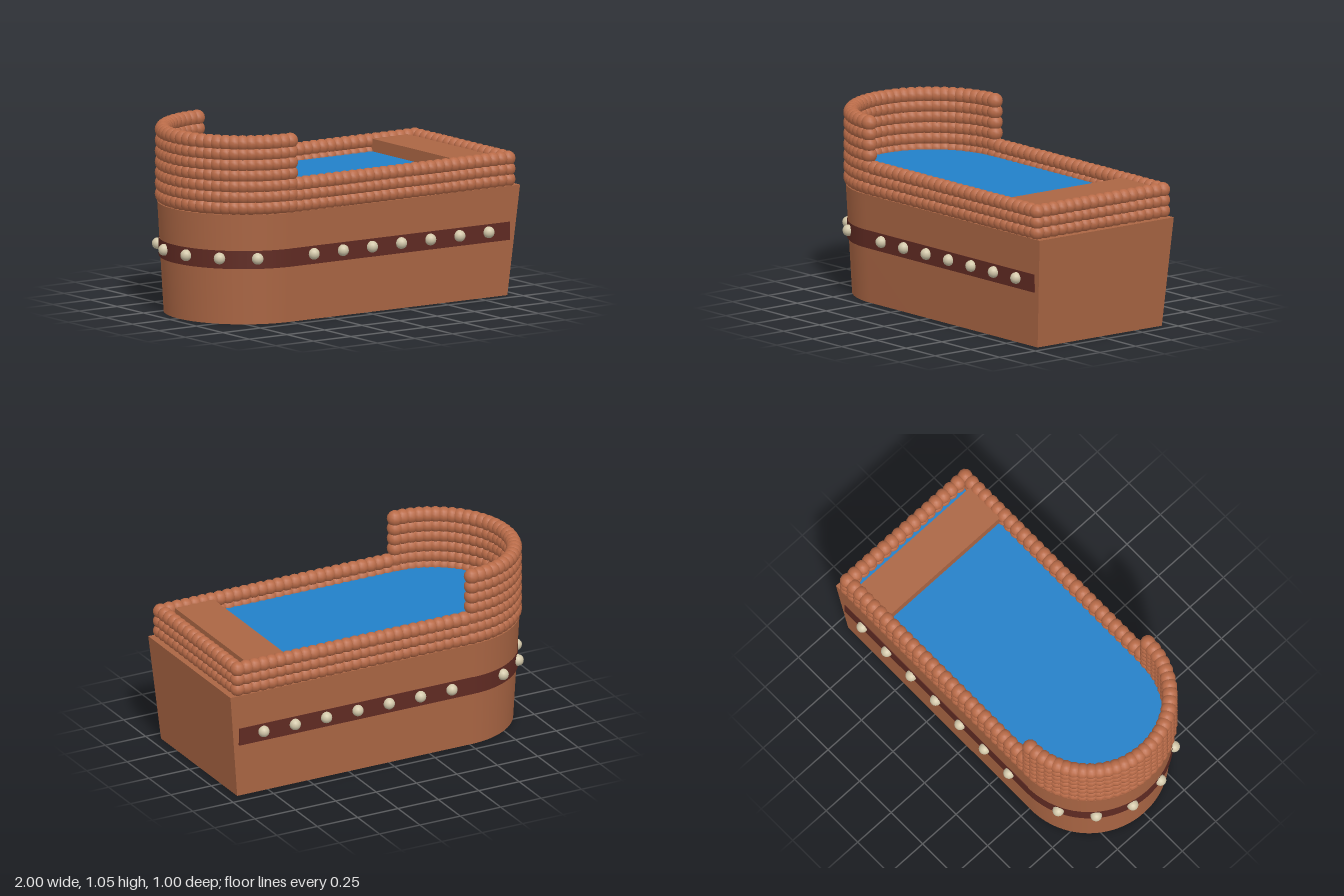
import * as THREE from 'three';
import { mergeGeometries, toCreasedNormals } from 'three/addons/utils/BufferGeometryUtils.js';

const ARC_X = -0.51; // centre of the rounded end

const mat = (name, color, extra = {}) => {
  const m = new THREE.MeshStandardMaterial({ color, ...extra });
  m.name = name;
  return m;
};

// Plan outline: square at +x, half round at -x, extruded upwards
function tubSolid(endX, r, y0, y1) {
  const s = new THREE.Shape();
  s.moveTo(ARC_X, -r);
  s.lineTo(endX, -r);
  s.lineTo(endX, r);
  s.lineTo(ARC_X, r);
  s.absarc(ARC_X, 0, r, Math.PI / 2, Math.PI * 1.5, false);
  const g = new THREE.ExtrudeGeometry(s, { depth: y1 - y0, bevelEnabled: false, curveSegments: 32 });
  return g.rotateX(-Math.PI / 2).translate(0, y0, 0);
}

// One mesh of many equal balls
function balls(points, r, material, name, w = 12, h = 8) {
  const ball = new THREE.SphereGeometry(r, w, h);
  const parts = points.map(([x, y, z]) => ball.clone().translate(x, y, z));
  const mesh = new THREE.Mesh(mergeGeometries(parts), material);
  mesh.name = name;
  return mesh;
}

export function createModel() {
  const group = new THREE.Group();
  group.name = 'tub';
  const clay = mat('clay', 0xab6644);
  const rope = mat('braid', 0xb96b48);
  const dark = mat('dark band', 0x5f2a22, { side: THREE.DoubleSide });
  const cream = mat('cream', 0xd2c7a9);
  const blue = mat('water', 0x2280c8);
  const add = (geo, material, name) => {
    const mesh = new THREE.Mesh(geo, material);
    mesh.name = name;
    group.add(mesh);
    return mesh;
  };

  // Body, tapering towards the floor
  const H = 0.61;
  const body = tubSolid(1, 0.47, 0, H);
  const p = body.attributes.position;
  for (let i = 0; i < p.count; i++) {
    const t = 1 - p.getY(i) / H;
    const dx = p.getX(i) - ARC_X;
    p.setX(i, ARC_X + dx * (1 - t * (dx > 0 ? 0.04 : 0.074)));
    p.setZ(i, p.getZ(i) * (1 - t * 0.074));
  }
  add(toCreasedNormals(body, 0.5), clay, 'body');

  // Water and the bench standing in it
  add(tubSolid(0.94, 0.44, 0.6, 0.705), blue, 'water');
  add(new THREE.BoxGeometry(0.24, 0.1, 0.82), clay, 'bench').position.set(0.75, 0.725, 0);

  // Dark band along the sides and round the curved end
  const bandR = 0.462, bandY = 0.36, bandH = 0.1;
  for (const side of [1, -1]) {
    add(new THREE.BoxGeometry(0.94 - ARC_X, bandH, 0.009), dark, 'sideBand')
      .position.set((0.94 + ARC_X) / 2, bandY, side * (bandR - 0.0045));
  }
  add(new THREE.CylinderGeometry(bandR, bandR, bandH, 40, 1, true, Math.PI, Math.PI), dark, 'roundBand')
    .position.set(ARC_X, bandY, 0);

  // Studs on the band
  const studs = [];
  for (const side of [1, -1]) {
    for (let i = 0; i < 7; i++) studs.push([0.793 - i * 0.194, 0.367, side * 0.468]);
    for (let i = 0; i < 3; i++) {
      const a = (i + 0.5) * Math.PI / 7;
      studs.push([ARC_X - 0.468 * Math.cos(a), 0.367, side * 0.468 * Math.sin(a)]);
    }
  }
  group.add(balls(studs, 0.032, cream, 'studs', 16, 12));

  // Beaded rim: three low rows along the sides and the square end
  const R = 0.44, endX = 0.94;
  for (let row = 0; row < 3; row++) {
    const y = 0.642 + row * 0.058, pts = [];
    for (let i = 0; i <= 28; i++) {
      const x = ARC_X + (endX - ARC_X) * i / 28;
      pts.push([x, y, R], [x, y, -R]);
    }
    for (let i = 1; i < 16; i++) pts.push([endX, y, -R + 2 * R * i / 16]);
    group.add(balls(pts, 0.042, rope, 'lowRim'));
  }

  // Seven rows form the high round back
  for (let row = 0; row < 7; row++) {
    const y = 0.647 + row * 0.0593, pts = [];
    for (let i = 0; i <= 30; i++) {
      const a = Math.PI * i / 30;
      pts.push([ARC_X - R * Math.sin(a), y, R * Math.cos(a)]);
    }
    group.add(balls(pts, 0.044, rope, 'highBack'));
  }
  return group;
}
